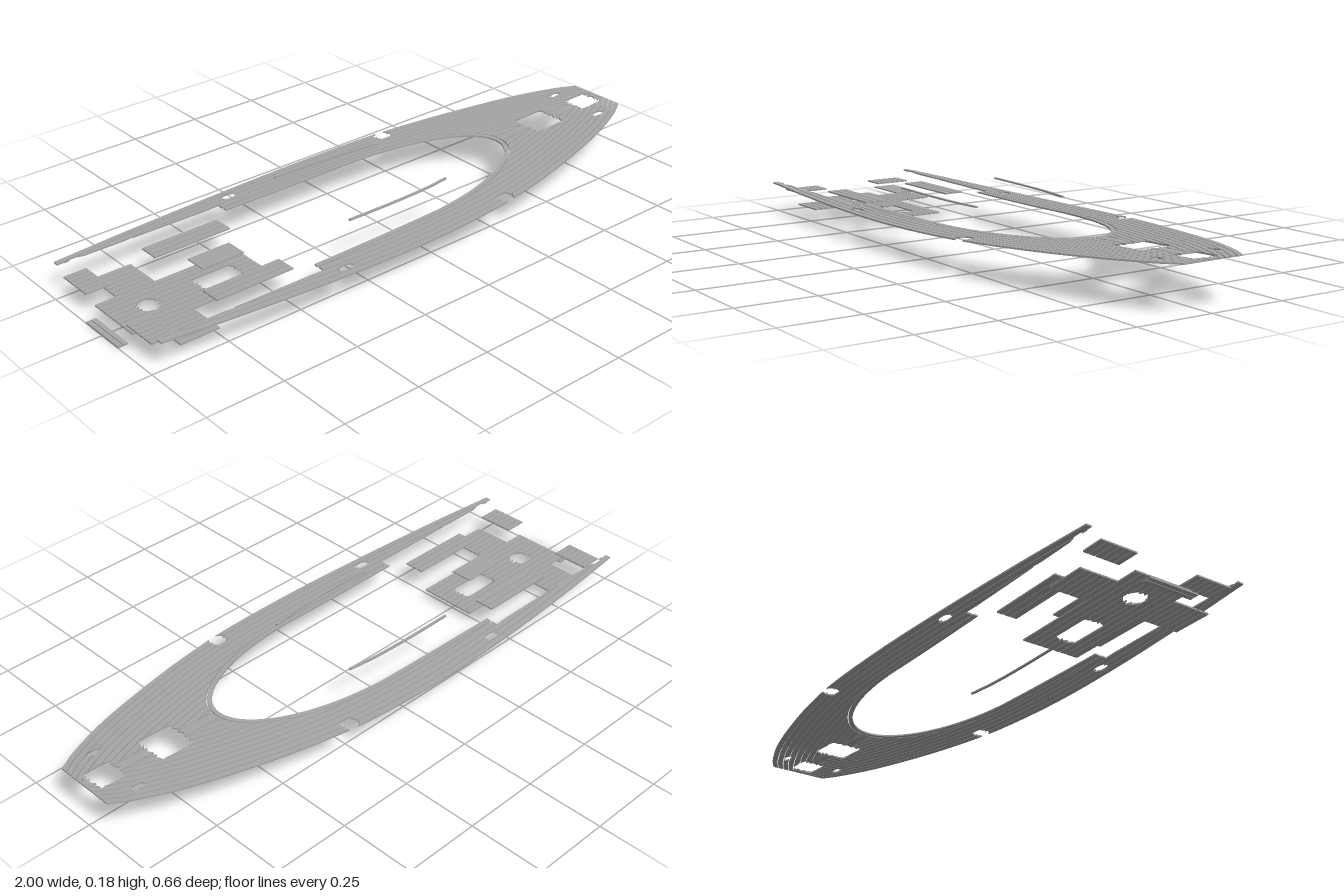
import * as THREE from 'three';

const PITCH = 0.0215, GAP = 0.003, THICK = 0.005;

// Smooth curve y(x) through a few points
function curve(pts) {
  const slope = i => {
    const a = pts[Math.max(0, i - 1)], b = pts[Math.min(pts.length - 1, i + 1)];
    return (b[1] - a[1]) / (b[0] - a[0]);
  };
  return x => {
    let i = 0;
    while (i < pts.length - 2 && x > pts[i + 1][0]) i++;
    const [x0, y0] = pts[i], [x1, y1] = pts[i + 1], h = x1 - x0, t = (x - x0) / h;
    const u = t * t * (3 - 2 * t);
    return y0 * (1 - u) + y1 * u + h * t * (1 - t) * ((1 - t) * slope(i) - t * slope(i + 1));
  };
}

const outer = curve([[-0.98, 0.275], [-0.72, 0.299], [-0.4, 0.32], [-0.1, 0.329], [0.2, 0.318],
  [0.4, 0.291], [0.6, 0.248], [0.8, 0.192], [0.94, 0.135], [1, 0.1]]);
const sheer = curve([[-0.98, 0.11], [-0.4, 0.106], [0, 0.109], [0.5, 0.124], [1, 0.146]]);
const deckTop = (x, z) => sheer(x) - 0.05 * z * z;

// Cabin opening, grown outwards by g
function cabin(x, g) {
  if (x <= 0) return 0.21 + g - 0.012 * x;
  const u = x / (0.513 + g);
  return u >= 1 ? 0 : (0.21 + g) * Math.sqrt(1 - u * u);
}

// Openings: centre, half sizes and roundness (2 = ellipse, large = rectangle)
const hole = (x, z, rx, rz, n) => ({ x, z, rx, rz, n });
const deckHoles = [
  hole(0.715, 0, 0.065, 0.056, 10), hole(0.93, 0, 0.05, 0.042, 12),
  hole(0.27, 0.29, 0.026, 0.024, 4), hole(-0.36, 0.285, 0.022, 0.014, 4),
  hole(0.895, 0.1, 0.02, 0.01, 8), hole(-0.925, 0.25, 0.025, 0.013, 10),
];
const soleHoles = [hole(-0.845, 0, 0.034, 0.034, 2), hole(-0.61, 0, 0.07, 0.036, 20)];

function range(x0, x1, step, extra = []) {
  const n = Math.max(1, Math.round((x1 - x0) / step)), xs = [];
  for (let i = 0; i <= n; i++) xs.push(x0 + (x1 - x0) * i / n);
  return [...xs, ...extra.filter(x => x > x0 && x < x1)].sort((a, b) => a - b);
}

// One plank: z runs from lo(x) to hi(x), cut by the openings, following the surface top(x, z)
function plank(xs, lo, hi, top, holes = [], side = 1) {
  const cells = [];
  for (let i = 0; i + 1 < xs.length; i++) {
    const ends = [xs[i], xs[i + 1]];
    let pieces = [ends.map(x => [lo(x), Math.max(lo(x), hi(x))])];
    for (const h of holes) {
      const us = ends.map(x => Math.min(1, Math.abs(x - h.x) / h.rx));
      if (us[0] > 0.9999 && us[1] > 0.9999) continue;
      const half = us.map(u => h.rz * Math.pow(1 - Math.pow(u, h.n), 1 / h.n));
      pieces = pieces.flatMap(p => [
        p.map(([a, b], k) => [a, Math.max(a, Math.min(b, h.z - half[k]))]),
        p.map(([a, b], k) => [Math.min(b, Math.max(a, h.z + half[k])), b]),
      ]);
    }
    pieces = pieces.filter(p => p.some(([a, b]) => b - a > 0.0008));
    if (side < 0) pieces = pieces.map(p => p.map(([a, b]) => [-b, -a]));
    cells.push(pieces);
  }
  const pos = [];
  const quad = (a, b, c, d) => pos.push(...a, ...b, ...c, ...a, ...c, ...d);
  const meets = (p, q) => Math.abs(p[0] - q[0]) + Math.abs(p[1] - q[1]) < 1e-4;
  cells.forEach((pieces, i) => {
    for (const p of pieces) {
      // corners: lower z top, upper z top, upper z bottom, lower z bottom
      const [A, B] = [0, 1].map(k => {
        const x = xs[i + k], [z0, z1] = p[k], y0 = top(x, z0), y1 = top(x, z1);
        return [[x, y0, z0], [x, y1, z1], [x, y1 - THICK, z1], [x, y0 - THICK, z0]];
      });
      for (let k = 0; k < 4; k++) quad(A[k], A[(k + 1) % 4], B[(k + 1) % 4], B[k]);
      if (!(cells[i - 1] || []).some(q => meets(q[1], p[0]))) quad(A[3], A[2], A[1], A[0]);
      if (!(cells[i + 1] || []).some(q => meets(q[0], p[1]))) quad(B[0], B[1], B[2], B[3]);
    }
  });
  if (!pos.length) return null;
  const g = new THREE.BufferGeometry();
  g.setAttribute('position', new THREE.Float32BufferAttribute(pos, 3));
  g.computeVertexNormals();
  return g;
}

export function createModel() {
  const teak = new THREE.MeshStandardMaterial({ color: 0xa6a6a6 });
  teak.name = 'grey decking';
  const model = new THREE.Group();
  model.name = 'boatDecking';

  const group = name => {
    const g = new THREE.Group();
    g.name = name;
    model.add(g);
    return g;
  };
  const add = (parent, name, geo) => {
    if (!geo) return;
    const m = new THREE.Mesh(geo, teak);
    m.name = name;
    parent.add(m);
  };

  // Curved main deck: planks follow the hull edge and end on the cabin margin or king plank
  const deck = group('mainDeck');
  const tips = [0.505, 0.511, 0.513, 0.525, 0.528, 0.531];
  const inner = x => x < -0.42 ? 0.255 : Math.max(cabin(x, 0.018), 0.018);
  for (const s of [1, -1]) {
    const tag = s > 0 ? 'left' : 'right';
    for (let k = 0; k < 15; k++) {
      const hi = x => Math.max(inner(x), outer(x) - k * PITCH);
      const lo = x => Math.max(inner(x), outer(x) - (k + 1) * PITCH + GAP);
      add(deck, tag + 'AftDeckPlank', plank(range(-0.98, -0.4201, 0.01), lo, hi, deckTop, deckHoles, s));
      add(deck, tag + 'DeckPlank', plank(range(-0.42, 1, 0.01, tips), lo, hi, deckTop, deckHoles, s));
    }
    add(deck, tag + 'CabinMargin', plank(range(-0.42, 0.528, 0.01, tips),
      x => cabin(x, 0), x => cabin(x, 0.015), deckTop, [], s));
  }
  add(deck, 'kingPlank', plank(range(0.53, 1, 0.01), () => -0.015, () => 0.015, deckTop, deckHoles));

  // Flat panels made of straight fore-and-aft planks
  const panel = (parent, name, x0, x1, z0, z1, count, y, holes = [], side = 1) => {
    const p = (z1 - z0 + GAP) / count;
    for (let k = 0; k < count; k++) {
      const a = z0 + k * p, b = a + p - GAP;
      add(parent, name, plank(range(x0, x1, holes.length ? 0.01 : 9), () => a, () => b, () => y, holes, side));
    }
  };

  const sole = group('cockpitSole');
  panel(sole, 'solePlank', -0.96, -0.475, -0.097, 0.097, 9, 0.038, soleHoles);
  const seats = group('cockpitSeats');
  for (const s of [1, -1]) {
    panel(sole, 'soleWingPlank', -0.89, -0.76, 0.1, 0.225, 6, 0.038, [], s);
    panel(seats, 'aftSeatPlank', -0.98, -0.905, 0.105, 0.227, 6, 0.079, [], s);
    panel(seats, 'sideSeatPlank', -0.74, -0.475, 0.12, 0.188, 3, 0.1, [], s);
  }

  // Table top above the sole opening
  const table = new THREE.BoxGeometry(0.145, 0.004, 0.074);
  add(model, 'tableTop', table.translate(-0.61, 0.107, 0));

  // Stern step: two planks running across
  const step = group('sternStep');
  for (const x of [-0.9925, -0.9755])
    add(step, 'stepPlank', new THREE.BoxGeometry(0.015, THICK, 0.166).translate(x, THICK / 2, 0));

  // Curved handrails on the cabin roof
  const rails = group('handrails');
  const railZ = curve([[-0.26, 0.179], [-0.1, 0.178], [0.04, 0.172], [0.14, 0.16]]);
  const railY = x => 0.177 - 0.012 * (x + 0.26);
  for (const s of [1, -1])
    add(rails, s > 0 ? 'leftHandrail' : 'rightHandrail',
      plank(range(-0.26, 0.14, 0.02), x => railZ(x) - 0.004, x => railZ(x) + 0.004, railY, [], s));

  return model;
}
